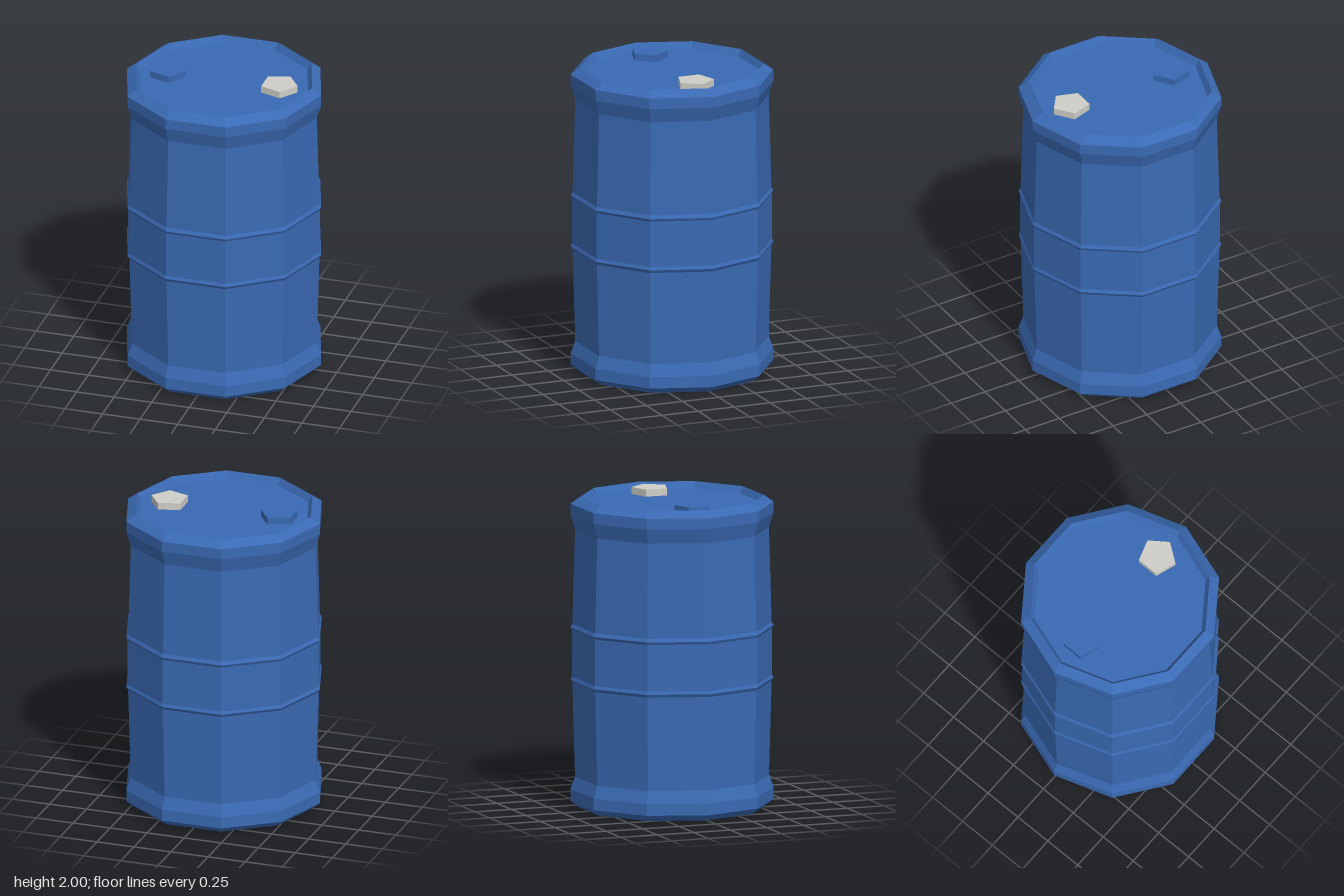
import * as THREE from 'three';

const SIDES = 10;
const blue = new THREE.MeshStandardMaterial({ color: 0x3a6ab4, flatShading: true });
const cream = new THREE.MeshStandardMaterial({ color: 0xcfcec8, flatShading: true });

const LID_Y = 1.955;

// Half outline of the drum, from the centre of the base up and over the rim
const profile = [
  [0, 0], [0.6, 0],                               // base
  [0.647, 0.04], [0.647, 0.115], [0.618, 0.195],  // lower lip
  [0.635, 0.8], [0.647, 0.82], [0.638, 0.84],     // lower hoop
  [0.638, 1.14], [0.647, 1.158], [0.635, 1.18],   // upper hoop
  [0.618, 1.79], [0.647, 1.885], [0.647, 1.955],  // upper lip
  [0.587, 1.998], [0.56, LID_Y],                  // rim and its inner wall
  [0, LID_Y],                                     // recessed lid
].map(([r, y]) => new THREE.Vector2(r, y));

// Five-sided bung with one corner towards +x
function makeCap(name, x, material) {
  const height = 2 - LID_Y;
  const geometry = new THREE.CylinderGeometry(0.122, 0.122, height, 5, 1, false, Math.PI / 2);
  const cap = new THREE.Mesh(geometry, material);
  cap.name = name;
  cap.position.set(x, LID_Y + height / 2, 0);
  return cap;
}

export function createModel() {
  const group = new THREE.Group();
  group.name = 'barrel';

  // Drum body, turned so a corner points along x
  const body = new THREE.Mesh(new THREE.LatheGeometry(profile, SIDES, Math.PI / 2), blue);
  body.name = 'drumBody';
  group.add(body);

  // Two bungs on the lid
  group.add(makeCap('leftCap', 0.368, cream));
  group.add(makeCap('rightCap', -0.372, blue));

  return group;
}
